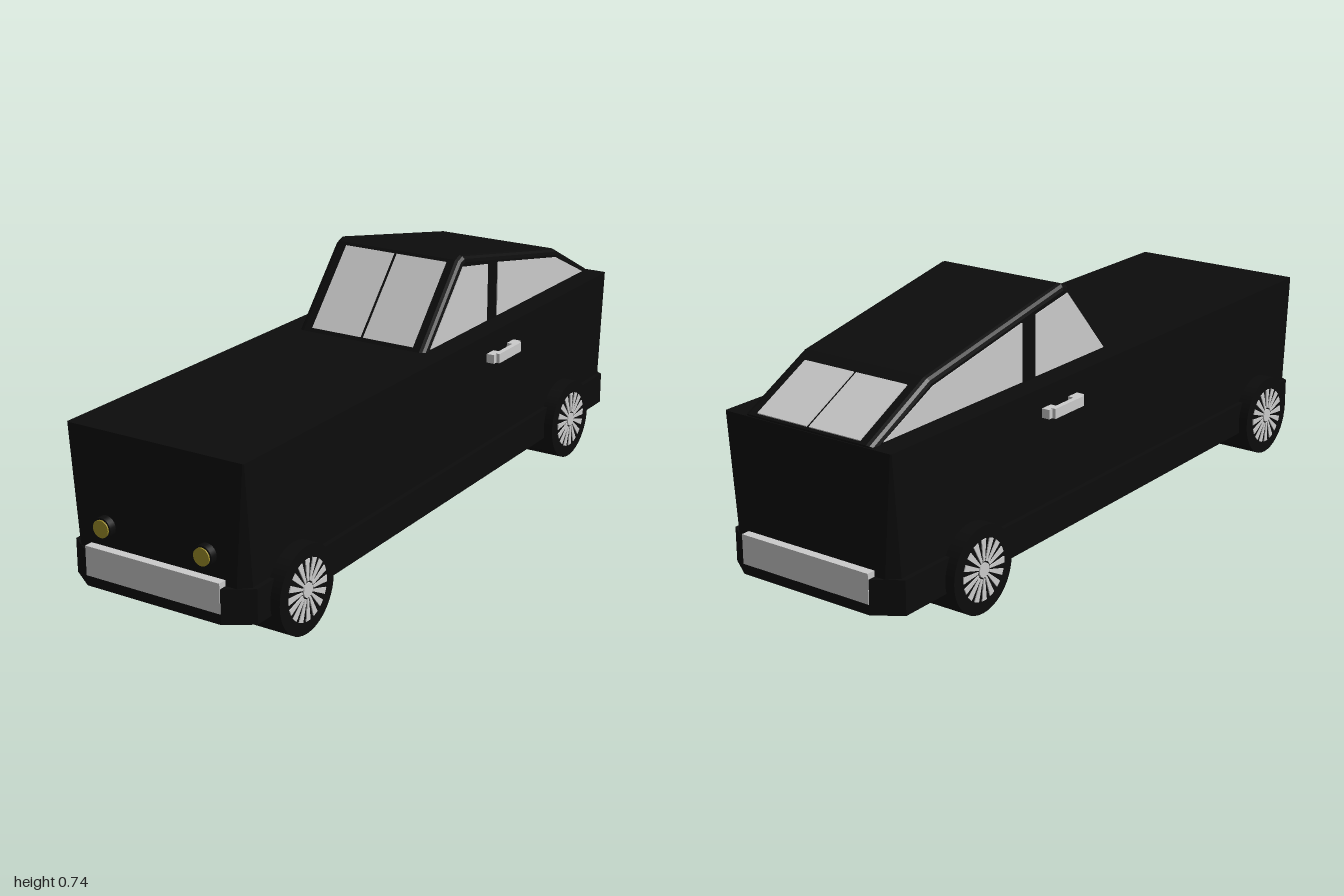
import * as THREE from 'three';

const paint = new THREE.MeshStandardMaterial({ color: 0x0c0c0c, flatShading: true });
const rubber = new THREE.MeshStandardMaterial({ color: 0x0c0c0c });
const grey = new THREE.MeshStandardMaterial({ color: 0xcccccc, side: THREE.DoubleSide });
const yellow = new THREE.MeshStandardMaterial({ color: 0xa0902a });

function add(parent, name, geometry, material, x = 0, y = 0, z = 0) {
  const mesh = new THREE.Mesh(geometry, material);
  mesh.name = name;
  mesh.position.set(x, y, z);
  parent.add(mesh);
  return mesh;
}

// Solid through octagonal plan sections: [y, half width, half length, corner cut x, corner cut z]
function loft(sections) {
  const pos = [], idx = [], n = 8;
  for (const [y, w, l, cx, cz] of sections) {
    const q = [[w, l - cz], [w, cz - l], [w - cx, -l], [cx - w, -l], [-w, cz - l], [-w, l - cz], [cx - w, l], [w - cx, l]];
    for (const [x, z] of q) pos.push(x, y, z);
  }
  const top = (sections.length - 1) * n;
  for (let s = 0; s < top; s += n) {
    for (let j = 0; j < n; j++) {
      const a = s + j, b = s + (j + 1) % n;
      idx.push(a, b, b + n, a, b + n, a + n);
    }
  }
  for (let j = 1; j < n - 1; j++) idx.push(0, j + 1, j, top, top + j, top + j + 1);
  const g = new THREE.BufferGeometry();
  g.setAttribute('position', new THREE.Float32BufferAttribute(pos, 3));
  g.setIndex(idx);
  const flat = g.toNonIndexed();
  flat.computeVertexNormals();
  return flat;
}

const shapeOf = (points) => new THREE.Shape(points.map(([a, b]) => new THREE.Vector2(a, b)));

// Extrudes a (z, y) profile across x, centred on x = 0
function sideExtrude(points, width, bevel = 0) {
  const g = new THREE.ExtrudeGeometry(shapeOf(points), {
    depth: width - 2 * bevel, bevelEnabled: bevel > 0, bevelSize: bevel,
    bevelThickness: bevel, bevelOffset: -bevel, bevelSegments: 3,
  });
  g.translate(0, 0, bevel - width / 2);
  g.rotateY(-Math.PI / 2);
  return g;
}

// Flat pair of panes lying on the slope between two (z, y) points
function slopedPanes(parent, name, [z0, y0], [z1, y1]) {
  const length = Math.hypot(z1 - z0, y1 - y0);
  for (const s of [-1, 1]) {
    const pane = add(parent, name, new THREE.BoxGeometry(0.164, 0.006, length), grey, s * 0.086, (y0 + y1) / 2, (z0 + z1) / 2);
    pane.rotation.x = Math.atan2(y0 - y1, z1 - z0);
  }
}

function makeWheel() {
  const wheel = new THREE.Group();
  wheel.name = 'wheel';
  const tyre = new THREE.CylinderGeometry(0.12, 0.12, 0.14, 40);
  tyre.rotateX(Math.PI / 2);
  add(wheel, 'tyre', tyre, rubber);
  const hub = new THREE.CylinderGeometry(0.02, 0.02, 0.006, 20);
  hub.rotateX(Math.PI / 2);
  add(wheel, 'hub', hub, grey, 0, 0, 0.071);
  const spoke = new THREE.ExtrudeGeometry(
    shapeOf([[-0.003, 0.024], [0.003, 0.024], [0.009, 0.084], [-0.009, 0.084]]),
    { depth: 0.003, bevelEnabled: false });
  for (let i = 0; i < 16; i++) {
    add(wheel, 'spoke', spoke, grey, 0, 0, 0.07).rotation.z = (i / 16) * Math.PI * 2;
  }
  return wheel;
}

export function createModel() {
  const car = new THREE.Group();
  car.name = 'car';

  // Body and lower skirt
  add(car, 'body', loft([[0.1, 0.272, 0.975, 0.035, 0.035], [0.515, 0.272, 0.975, 0.003, 0.003]]), paint);
  add(car, 'skirt', loft([[0.09, 0.285, 0.998, 0.075, 0.05], [0.185, 0.285, 0.998, 0.075, 0.05]]), paint);

  // Cabin with softened roof edges
  const cabin = [[0.04, 0.47], [0.04, 0.515], [-0.155, 0.735], [-0.18, 0.744],
    [-0.75, 0.633], [-0.972, 0.52], [-0.972, 0.47]];
  add(car, 'cabin', sideExtrude(cabin.reverse(), 0.42, 0.018), paint);

  // Glass
  slopedPanes(car, 'windscreen', [0.03, 0.523], [-0.15, 0.726]);
  slopedPanes(car, 'rearWindow', [-0.785, 0.616], [-0.965, 0.524]);
  const sidePanes = [
    [[0.01, 0.52], [-0.165, 0.716], [-0.31, 0.69], [-0.31, 0.52]],
    [[-0.37, 0.52], [-0.37, 0.682], [-0.74, 0.61], [-0.93, 0.52]],
  ];
  for (const points of sidePanes) {
    for (const s of [-1, 1]) add(car, 'sideWindow', sideExtrude(points, 0.006), grey, s * 0.21);
  }

  // Bumper plates at both ends
  for (const s of [-1, 1]) {
    add(car, 'bumperPlate', new THREE.BoxGeometry(0.42, 0.082, 0.03), grey, 0, 0.16, s * 0.985);
  }

  for (const s of [-1, 1]) {
    // Headlight with dark surround
    const housing = new THREE.CylinderGeometry(0.029, 0.029, 0.03, 28);
    housing.rotateX(Math.PI / 2);
    add(car, 'headlightHousing', housing, rubber, s * 0.157, 0.258, 0.981);
    const lens = new THREE.CylinderGeometry(0.024, 0.024, 0.03, 28);
    lens.rotateX(Math.PI / 2);
    add(car, 'headlight', lens, yellow, s * 0.157, 0.258, 0.985);

    // Door handle: grip on two feet
    const handle = new THREE.Group();
    handle.name = 'doorHandle';
    add(handle, 'grip', new THREE.BoxGeometry(0.015, 0.028, 0.13), grey, s * 0.298, 0.445, -0.285);
    for (const z of [-0.345, -0.225]) {
      add(handle, 'foot', new THREE.BoxGeometry(0.028, 0.026, 0.04), grey, s * 0.282, 0.445, z);
    }
    car.add(handle);

    // Wheels
    for (const z of [0.775, -0.675]) {
      const wheel = makeWheel();
      wheel.position.set(s * 0.243, 0.121, z);
      wheel.rotation.y = s * Math.PI / 2;
      car.add(wheel);
    }
  }
  return car;
}
